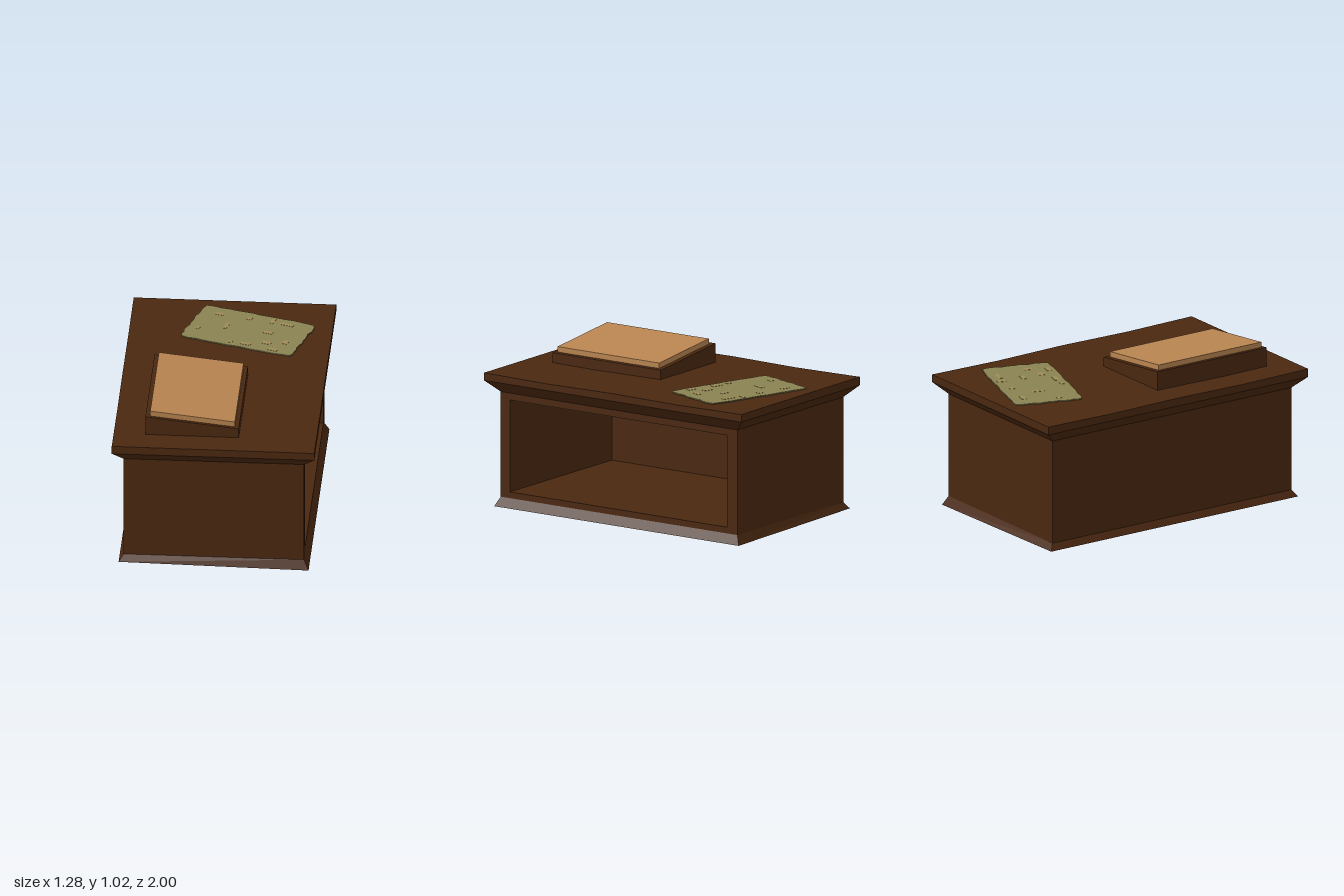
import * as THREE from 'three';

const mat = (color) => new THREE.MeshStandardMaterial({ color, flatShading: true, side: THREE.DoubleSide });
const darkWood = mat(0x4a2810);
const paleWood = mat(0xb88450);
const parchment = mat(0x8a8252);
const stain = mat(0x9e8c55);

function add(parent, name, geometry, material, x = 0, y = 0, z = 0) {
  const mesh = new THREE.Mesh(geometry, material);
  mesh.name = name;
  mesh.position.set(x, y, z);
  parent.add(mesh);
  return mesh;
}

// Moves every vertex of a geometry by a rule
function warp(geometry, rule) {
  const p = geometry.attributes.position;
  const v = new THREE.Vector3();
  for (let i = 0; i < p.count; i++) {
    rule(v.fromBufferAttribute(p, i));
    p.setXYZ(i, v.x, v.y, v.z);
  }
  geometry.computeVertexNormals();
  return geometry;
}

// Box whose bottom and top have different half sizes
function flared(x0, z0, x1, z1, y0, y1) {
  return warp(new THREE.BoxGeometry(2, 1, 2, 1, 1, 4), (v) => {
    const top = v.y > 0;
    v.set(v.x * (top ? x1 : x0), top ? y1 : y0, v.z * (top ? z1 : z0));
  });
}

function rectangle(PathType, x0, y0, x1, y1) {
  const p = new PathType();
  p.moveTo(x0, y0);
  p.lineTo(x1, y0);
  p.lineTo(x1, y1);
  p.lineTo(x0, y1);
  p.closePath();
  return p;
}

// Sheet outline with a gently ragged border
function raggedSheet(w, h) {
  const corners = [[-w, -h], [w, -h], [w, h], [-w, h]];
  const points = [];
  const steps = 14;
  corners.forEach(([ax, ay], c) => {
    const [bx, by] = corners[(c + 1) % 4];
    for (let i = 0; i < steps; i++) {
      const t = i / steps;
      const k = c * steps + i;
      let s = 1 + 0.012 * Math.sin(k * 2.3) + 0.01 * Math.sin(k * 5.1 + 1);
      if (i === 0) s -= 0.04;
      points.push(new THREE.Vector2((ax + (bx - ax) * t) * s, (ay + (by - ay) * t) * s));
    }
  });
  return new THREE.Shape(points);
}

export function createModel() {
  const desk = new THREE.Group();
  desk.name = 'desk';

  // Flared plinth with a slightly uneven underside
  const plinth = warp(flared(0.6, 0.95, 0.57, 0.92, 0, 0.06), (v) => {
    if (v.y < 0.03) v.y = 0.009 - 0.015 * v.x;
  });
  add(desk, 'plinth', plinth, darkWood);

  // Hollow body, open on the left side
  const side = rectangle(THREE.Shape, -0.92, 0.06, 0.92, 0.74);
  side.holes.push(rectangle(THREE.Path, -0.85, 0.1, 0.84, 0.695));
  const body = new THREE.ExtrudeGeometry(side, { depth: 1.1, bevelEnabled: false });
  body.rotateY(Math.PI / 2);
  add(desk, 'body', body, darkWood, -0.53);
  add(desk, 'backPanel', new THREE.BoxGeometry(0.04, 0.68, 1.84), darkWood, -0.55, 0.4, 0);
  const ceiling = new THREE.PlaneGeometry(1.09, 1.68);
  ceiling.rotateX(Math.PI / 2);
  add(desk, 'innerCeiling', ceiling, paleWood, 0.02, 0.692, 0.005);

  // Cornice and worn table top
  add(desk, 'cornice', flared(0.57, 0.92, 0.64, 1, 0.74, 0.815), darkWood);
  const tableTop = warp(flared(0.64, 1, 0.64, 1, 0.815, 0.863), (v) => {
    if (v.y > 0.85) v.y += 0.003 * Math.cos(v.z * Math.PI * 2) - 0.003 * v.x;
  });
  add(desk, 'tableTop', tableTop, darkWood);

  // Sloping writing stand and its board
  const stand = new THREE.Group();
  stand.name = 'writingStand';
  desk.add(stand);
  const slope = (x) => 0.99 - (x + 0.44) * 0.108;
  const wedge = warp(new THREE.BoxGeometry(0.59, 0.1, 0.84), (v) => {
    v.x -= 0.145;
    v.y = v.y > 0 ? slope(v.x) : 0.85;
    v.z += 0.4;
  });
  add(stand, 'standBase', wedge, darkWood);
  const board = warp(new THREE.BoxGeometry(0.535, 0.035, 0.79), (v) => {
    v.x -= 0.143;
    v.y = slope(v.x) + (v.y > 0 ? 0.035 : -0.002);
    v.z += 0.405;
  });
  add(stand, 'writingBoard', board, paleWood);

  // Ragged parchment lying on the top
  const sheet = new THREE.Group();
  sheet.name = 'parchment';
  sheet.position.set(0.11, 0.866, -0.6);
  sheet.rotation.y = -0.31;
  desk.add(sheet);
  const paper = new THREE.ExtrudeGeometry(raggedSheet(0.375, 0.224), { depth: 0.007, bevelEnabled: false });
  paper.rotateX(-Math.PI / 2);
  add(sheet, 'parchmentSheet', paper, parchment);

  // Faded patches: x, z, width, depth
  const patches = [
    [-0.25, -0.14, 0.06, 0.03], [-0.05, -0.15, 0.035, 0.03], [0.1, -0.17, 0.025, 0.06],
    [0.2, -0.16, 0.09, 0.025], [-0.15, -0.01, 0.025, 0.08], [0.13, -0.02, 0.06, 0.03],
    [-0.31, 0.08, 0.03, 0.03], [0.05, 0.17, 0.07, 0.03], [0.17, 0.11, 0.06, 0.035],
    [0.28, 0.06, 0.035, 0.05], [0.24, 0.18, 0.06, 0.03], [-0.05, 0.18, 0.03, 0.025],
  ];
  for (const [x, z, w, d] of patches) {
    add(sheet, 'fadedPatch', new THREE.BoxGeometry(w, 0.002, d), stain, x, 0.0075, z);
  }

  return desk;
}
